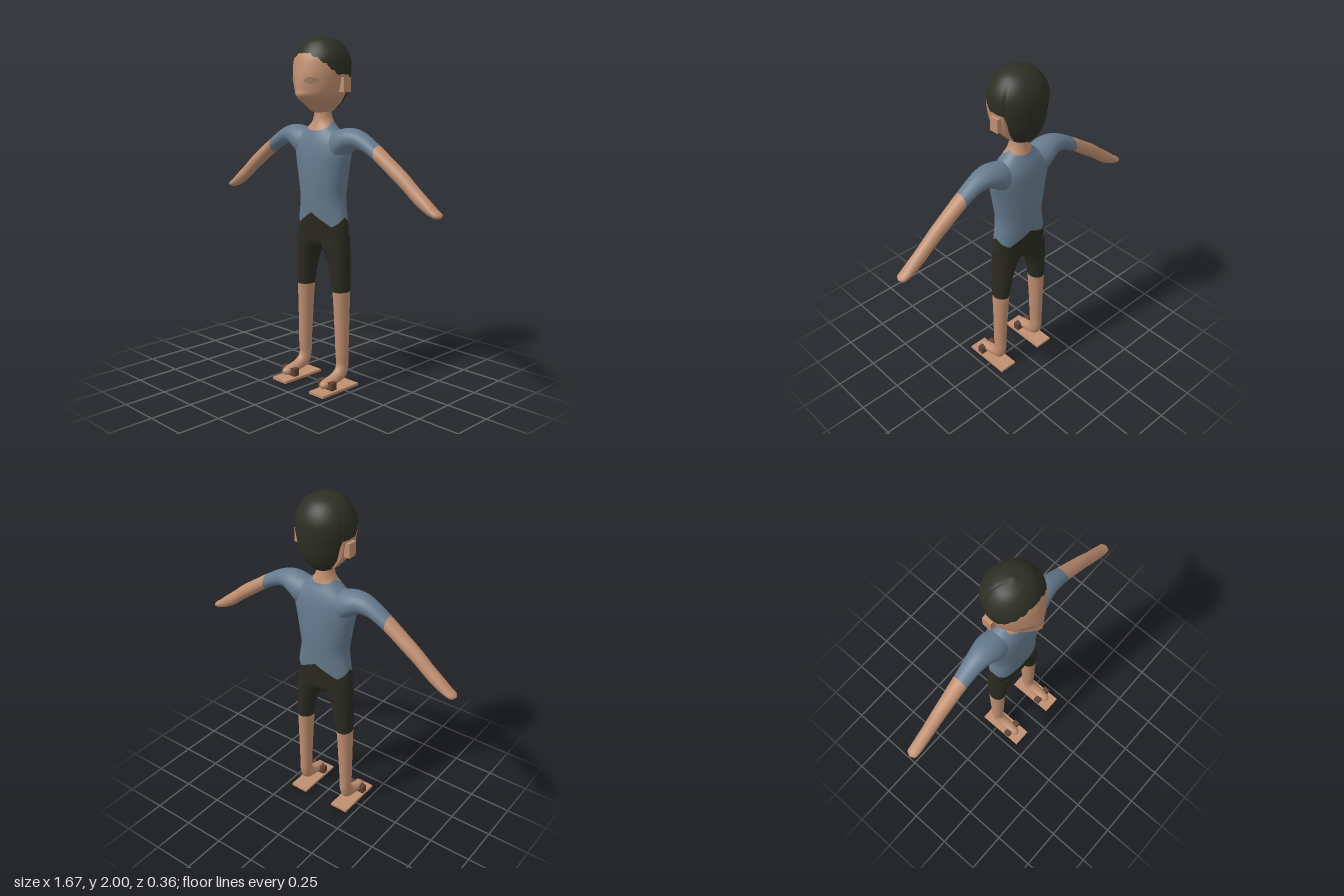
import * as THREE from 'three';

const mat = (name, color) => new THREE.MeshStandardMaterial({ name, color });

// Smoothly reads a table whose rows are [key, value, value, ...]
function sample(table, k) {
  const n = table.length;
  let i = 0;
  while (i < n - 2 && k > table[i + 1][0]) i++;
  const a = table[i], b = table[i + 1], p = table[Math.max(i - 1, 0)], q = table[Math.min(i + 2, n - 1)];
  const h = b[0] - a[0], t = THREE.MathUtils.clamp((k - a[0]) / h, 0, 1);
  return a.map((_, c) => {
    const m0 = (b[c] - p[c]) / (b[0] - p[0]) * h, m1 = (q[c] - a[c]) / (q[0] - a[0]) * h;
    const t2 = t * t, t3 = t2 * t;
    return a[c] * (2 * t3 - 3 * t2 + 1) + m0 * (t3 - 2 * t2 + t) + b[c] * (3 * t2 - 2 * t3) + m1 * (t3 - t2);
  });
}

// Closed tube of rows x cols; point(angle, v) gives [x, y, z]; side -1 mirrors it
function skin(rows, cols, point, side = 1) {
  const pos = [], idx = [];
  for (let i = 0; i <= rows; i++)
    for (let j = 0; j < cols; j++) {
      const [x, y, z] = point(j / cols * Math.PI * 2, i / rows);
      pos.push(x * side, y, z);
    }
  for (let i = 0; i < rows; i++)
    for (let j = 0; j < cols; j++) {
      const a = i * cols + j, b = i * cols + (j + 1) % cols, c = a + cols, d = b + cols;
      if (side > 0) idx.push(a, c, b, b, c, d);
      else idx.push(a, b, c, b, d, c);
    }
  const g = new THREE.BufferGeometry();
  g.setAttribute('position', new THREE.Float32BufferAttribute(pos, 3));
  g.setIndex(idx);
  g.computeVertexNormals();
  return g;
}

// Trunk: y, half width, back z, front z
const TRUNK = [
  [0.80, 0.05, -0.06, 0], [0.83, 0.13, -0.10, 0.035], [0.87, 0.178, -0.113, 0.046], [0.94, 0.179, -0.12, 0.055],
  [1.00, 0.168, -0.128, 0.062], [1.10, 0.152, -0.135, 0.072], [1.20, 0.165, -0.14, 0.078], [1.30, 0.184, -0.14, 0.078],
  [1.36, 0.196, -0.137, 0.074], [1.42, 0.185, -0.13, 0.064], [1.465, 0.14, -0.115, 0.05], [1.495, 0.10, -0.10, 0.038],
  [1.53, 0.062, -0.088, 0.026], [1.58, 0.046, -0.077, 0.02], [1.65, 0.045, -0.075, 0.02]];

// Head: y, half width, back z, front z, centre ridge
const HEAD = [
  [1.565, 0.004, -0.03, -0.015, 0], [1.585, 0.05, -0.09, 0.04, 0.005], [1.62, 0.092, -0.135, 0.072, 0.02],
  [1.67, 0.13, -0.16, 0.11, 0.052], [1.70, 0.143, -0.168, 0.122, 0.038], [1.76, 0.157, -0.176, 0.13, 0.026],
  [1.82, 0.165, -0.18, 0.131, 0.014], [1.88, 0.16, -0.174, 0.124, 0.004], [1.94, 0.125, -0.142, 0.094, 0],
  [1.98, 0.075, -0.092, 0.048, 0], [2.0, 0.001, -0.022, -0.02, 0]];

function ringPoint(table, a, y) {
  const [, rx, back, front, ridge = 0] = sample(table, y);
  const c = Math.cos(a), s = Math.sin(a);
  const z = (back + front) / 2 + (front - back) / 2 * s + (s > 0 ? ridge * Math.max(0, 1 - Math.abs(c) / 0.9) : 0);
  return [rx * c, y, z];
}
const band = (table, rows, low, high) => skin(rows, 64, (a, v) => {
  const y0 = low(a), y1 = high(a);
  return ringPoint(table, a, y0 + (y1 - y0) * v);
});

// Zigzag hem: peaks front, back and sides, dips on the diagonals
function hem(a) {
  const t = a / (Math.PI / 4), i = Math.floor(t + 1e-6), f = t - i;
  const h = k => [1.0, 0.945, 1.02, 0.945][k % 4];
  return h(i) + (h(i + 1) - h(i)) * f;
}
const neckline = a => 1.53 - (Math.sin(a) > 0 ? 0.05 : 0.02) * Math.abs(Math.sin(a));

// Hairline by how far the direction points forward, with a ragged fringe
const HAIRLINE = [[-1, 1.585], [-0.47, 1.595], [-0.4, 1.785], [0.3, 1.79], [0.6, 1.835], [0.83, 1.872], [0.97, 1.897], [1, 1.90]];
function hairline(a) {
  const s = Math.sin(a);
  let i = 0;
  while (i < HAIRLINE.length - 2 && s > HAIRLINE[i + 1][0]) i++;
  const [p, q] = [HAIRLINE[i], HAIRLINE[i + 1]];
  const y = p[1] + (q[1] - p[1]) * (s - p[0]) / (q[0] - p[0]);
  return y + (s > 0.1 && s < 0.97 ? 0.007 * Math.sin(a * 21) : 0);
}

// Arm: x, top y, bottom y, half depth
const ARM = [
  [0.08, 1.475, 1.33, 0.065], [0.15, 1.493, 1.32, 0.083], [0.20, 1.50, 1.36, 0.078], [0.25, 1.497, 1.387, 0.066],
  [0.31, 1.477, 1.38, 0.055], [0.41, 1.418, 1.328, 0.046], [0.52, 1.343, 1.25, 0.041], [0.60, 1.287, 1.193, 0.038],
  [0.68, 1.22, 1.13, 0.036], [0.75, 1.165, 1.09, 0.035], [0.80, 1.122, 1.075, 0.033], [0.825, 1.106, 1.077, 0.026],
  [0.835, 1.093, 1.089, 0.003]];
const armBand = (x0, x1, rows, side) => skin(rows, 24, (a, v) => {
  const [x, top, bottom, rz] = sample(ARM, x0 + (x1 - x0) * v);
  return [x, (top + bottom) / 2 + (top - bottom) / 2 * Math.sin(a), -0.032 + rz * Math.cos(a)];
}, side);

// Leg rings from toe to hip: step, x, y, z, half width, half depth, tilt
const LEG = [
  [0, 0.155, 0.047, 0.142, 0.002, 0.002, 1.45], [1, 0.155, 0.047, 0.135, 0.018, 0.016, 1.42],
  [2, 0.155, 0.05, 0.115, 0.027, 0.024, 1.38], [3, 0.155, 0.056, 0.08, 0.031, 0.027, 1.32],
  [4, 0.154, 0.066, 0.03, 0.033, 0.031, 1.2], [5, 0.154, 0.088, -0.018, 0.034, 0.041, 0.75],
  [6, 0.153, 0.135, -0.036, 0.034, 0.038, 0.15], [7, 0.152, 0.2, -0.034, 0.036, 0.04, 0],
  [8, 0.148, 0.38, -0.035, 0.041, 0.046, 0], [9, 0.1425, 0.57, -0.035, 0.0475, 0.055, 0],
  [10, 0.13, 0.7, -0.035, 0.06, 0.064, 0], [11, 0.114, 0.78, -0.034, 0.075, 0.07, 0],
  [12, 0.098, 0.825, -0.033, 0.089, 0.075, 0], [13, 0.094, 0.89, -0.033, 0.087, 0.078, 0]];
const legBand = (k0, k1, rows, side) => skin(rows, 32, (a, v) => {
  const [, x, y, z, rx, rd, tilt] = sample(LEG, k0 + (k1 - k0) * v);
  const d = rd * Math.sin(a);
  return [x + rx * Math.cos(a), y + d * Math.sin(tilt), z + d * Math.cos(tilt)];
}, side);

// Thin oval eye plate laid on the face
function eyeGeometry(side) {
  const g = new THREE.CircleGeometry(1, 28), p = g.attributes.position;
  for (let i = 0; i < p.count; i++) {
    const x = side * 0.07 + p.getX(i) * 0.034, y = 1.755 + p.getY(i) * 0.018;
    const z = ringPoint(HEAD, Math.acos(x / sample(HEAD, y)[1]), y)[2];
    p.setXYZ(i, x, y, z + 0.006);
  }
  g.computeVertexNormals();
  return g;
}

export function createModel() {
  const model = new THREE.Group();
  model.name = 'standingFigure';
  const skinMat = mat('skin', 0xbf8e70), shirt = mat('shirtBlue', 0x667b8e), dark = mat('darkCloth', 0x2b2b21);
  const hair = mat('hair', 0x2d2e23), eyeMat = mat('eyeTan', 0xa07c62), strap = mat('strapBrown', 0x5e4233);
  const add = (name, geometry, material) => {
    const m = new THREE.Mesh(geometry, material);
    m.name = name;
    model.add(m);
    return m;
  };
  const box = (name, size, at, material) => add(name, new THREE.BoxGeometry(...size), material).position.set(...at);

  // Trunk and head
  add('shortsWaist', band(TRUNK, 12, () => 0.80, hem), dark);
  add('shirtBody', band(TRUNK, 36, hem, neckline), shirt);
  add('neck', band(TRUNK, 10, neckline, () => 1.65), skinMat);
  add('face', band(HEAD, 36, () => 1.565, hairline), skinMat);
  add('hair', band(HEAD, 36, hairline, () => 2.0), hair);

  // Paired parts
  for (const side of [1, -1]) {
    const n = side > 0 ? 'left' : 'right';
    add(n + 'Sleeve', armBand(0.08, 0.41, 18, side), shirt);
    add(n + 'Forearm', armBand(0.41, 0.835, 32, side), skinMat);
    add(n + 'ShortsLeg', legBand(9, 13, 16, side), dark);
    add(n + 'LowerLeg', legBand(0, 9, 40, side), skinMat);
    add(n + 'Eye', eyeGeometry(side), eyeMat);
    box(n + 'Ear', [0.035, 0.08, 0.055], [side * 0.161, 1.733, -0.038], skinMat);
    box(n + 'Sole', [0.112, 0.015, 0.29], [side * 0.154, 0.0075, 0.035], skinMat);
    box(n + 'Strap', [0.112, 0.045, 0.038], [side * 0.154, 0.047, 0.09], strap);
  }
  return model;
}
